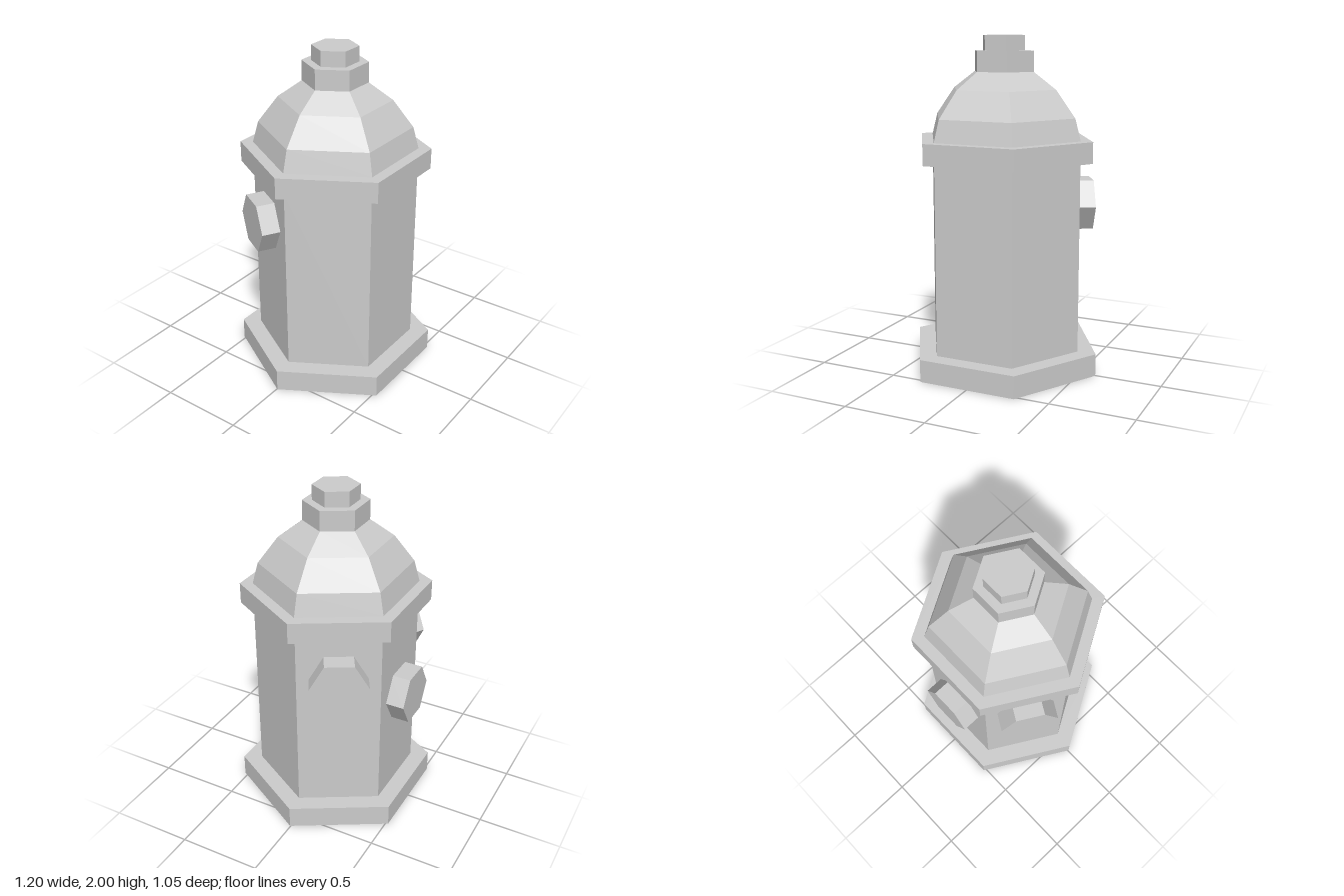
import * as THREE from 'three';

const SIDES = 6;
const material = new THREE.MeshStandardMaterial({ color: 0xcccccc, flatShading: true });

// Six-sided lathe with corners on +x and -x; profile is [radius, height] pairs
function hexLathe(name, profile) {
  const points = profile.map(([r, y]) => new THREE.Vector2(r, y));
  const mesh = new THREE.Mesh(new THREE.LatheGeometry(points, SIDES, Math.PI / 2), material);
  mesh.name = name;
  return mesh;
}

// Hexagonal outlet cap standing out from one face of the barrel
function outletCap(name, height, angle) {
  const inner = 0.41, outer = 0.53, radius = 0.17;
  const geometry = new THREE.CylinderGeometry(radius, radius, outer - inner, SIDES);
  geometry.rotateY(Math.PI / 2).rotateX(Math.PI / 2).translate(0, 0, (inner + outer) / 2);
  const mesh = new THREE.Mesh(geometry, material);
  mesh.name = name;
  mesh.position.y = height;
  mesh.rotation.y = angle;
  return mesh;
}

export function createModel() {
  const group = new THREE.Group();
  group.name = 'hydrant';

  // Hollow shell: flange, barrel, collar, dome and top nut, then back down the inside
  group.add(hexLathe('shell', [
    [0.51, 0], [0.6, 0], [0.6, 0.135], [0.485, 0.135],             // base flange
    [0.485, 1.275], [0.56, 1.275], [0.56, 1.4], [0.485, 1.4],      // barrel and collar
    [0.45, 1.53], [0.33, 1.69], [0.19, 1.79],                      // dome
    [0.19, 1.91], [0.135, 1.91], [0.135, 2], [0, 2],               // stepped nut
    [0, 1.72], [0.16, 1.71], [0.28, 1.63], [0.38, 1.49],           // inside of dome
    [0.41, 1.38], [0.41, 0.07], [0.51, 0.07], [0.51, 0],           // inside of barrel and flange
  ]));

  // One low outlet at the back, two higher ones on the rear side faces
  group.add(outletCap('backOutlet', 0.78, Math.PI));
  group.add(outletCap('leftOutlet', 1, Math.PI * 2 / 3));
  group.add(outletCap('rightOutlet', 1, -Math.PI * 2 / 3));

  // Balance the depth taken by the back outlet
  for (const part of group.children) part.position.z = 0.004;
  return group;
}
